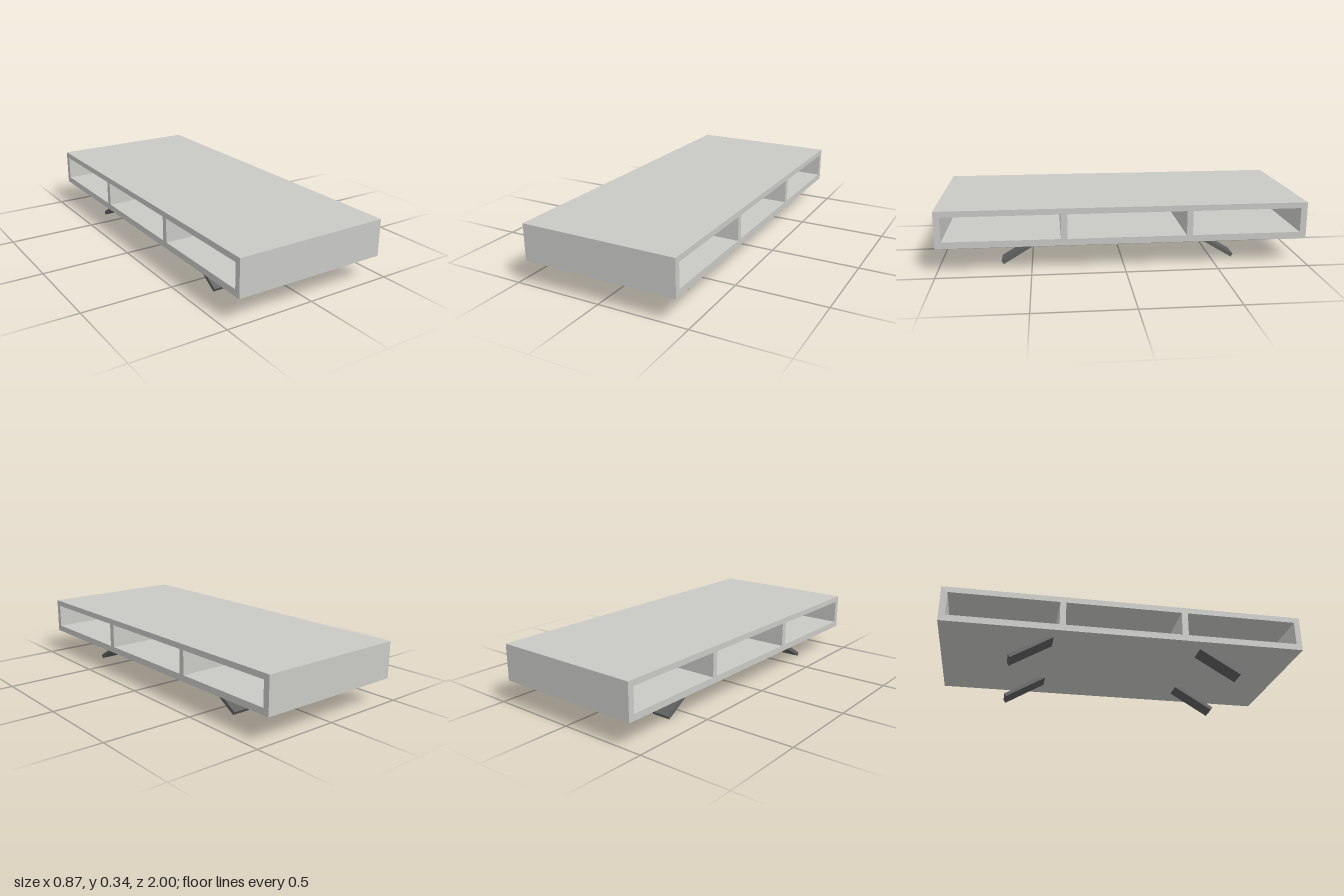
import * as THREE from 'three';

// Extrudes a (z, y) outline along x, from x0 to x1.
function extrudeAlongX(shape, x0, x1) {
  const geometry = new THREE.ExtrudeGeometry(shape, { depth: x1 - x0, bevelEnabled: false });
  geometry.rotateY(-Math.PI / 2); // shape x -> z, depth -> -x
  geometry.translate(x1, 0, 0);
  return geometry;
}

const polygon = (points) => new THREE.Shape(points.map(([z, y]) => new THREE.Vector2(z, y)));

const rectangle = (z0, z1, y0, y1) => [[z0, y0], [z1, y0], [z1, y1], [z0, y1]];

export function createModel() {
  const group = new THREE.Group();
  const paleGrey = new THREE.MeshStandardMaterial({ color: 0xc9c9c6 });
  paleGrey.name = 'paleGrey';
  const darkGrey = new THREE.MeshStandardMaterial({ color: 0x606060 });
  darkGrey.name = 'darkGrey';

  // Long box, open on both sides, with two dividers
  const profile = polygon(rectangle(-1, 1, 0.138, 0.341));
  for (const [z0, z1] of [[-0.965, -0.37], [-0.337, 0.306], [0.341, 0.967]]) {
    profile.holes.push(polygon(rectangle(z0, z1, 0.174, 0.309)));
  }
  const cabinet = new THREE.Mesh(extrudeAlongX(profile, -0.436, 0.436), paleGrey);
  cabinet.name = 'cabinet';
  group.add(cabinet);

  // Flat splayed legs, two at each end
  const frontOutline = [[0.667, 0.018], [0.428, 0.138], [0.467, 0.138], [0.656, 0]];
  frontOutline.splice(0, 4, [0.656, 0], [0.667, 0.018], [0.467, 0.138], [0.428, 0.138]);
  const backOutline = frontOutline.map(([z, y]) => [0.037 - z, y]);
  for (const [end, outline] of [['front', frontOutline], ['back', backOutline]]) {
    for (const [side, x0, x1] of [['Right', -0.348, -0.238], ['Left', 0.201, 0.311]]) {
      const leg = new THREE.Mesh(extrudeAlongX(polygon(outline), x0, x1), darkGrey);
      leg.name = `${end}${side}Leg`;
      group.add(leg);
    }
  }

  return group;
}
